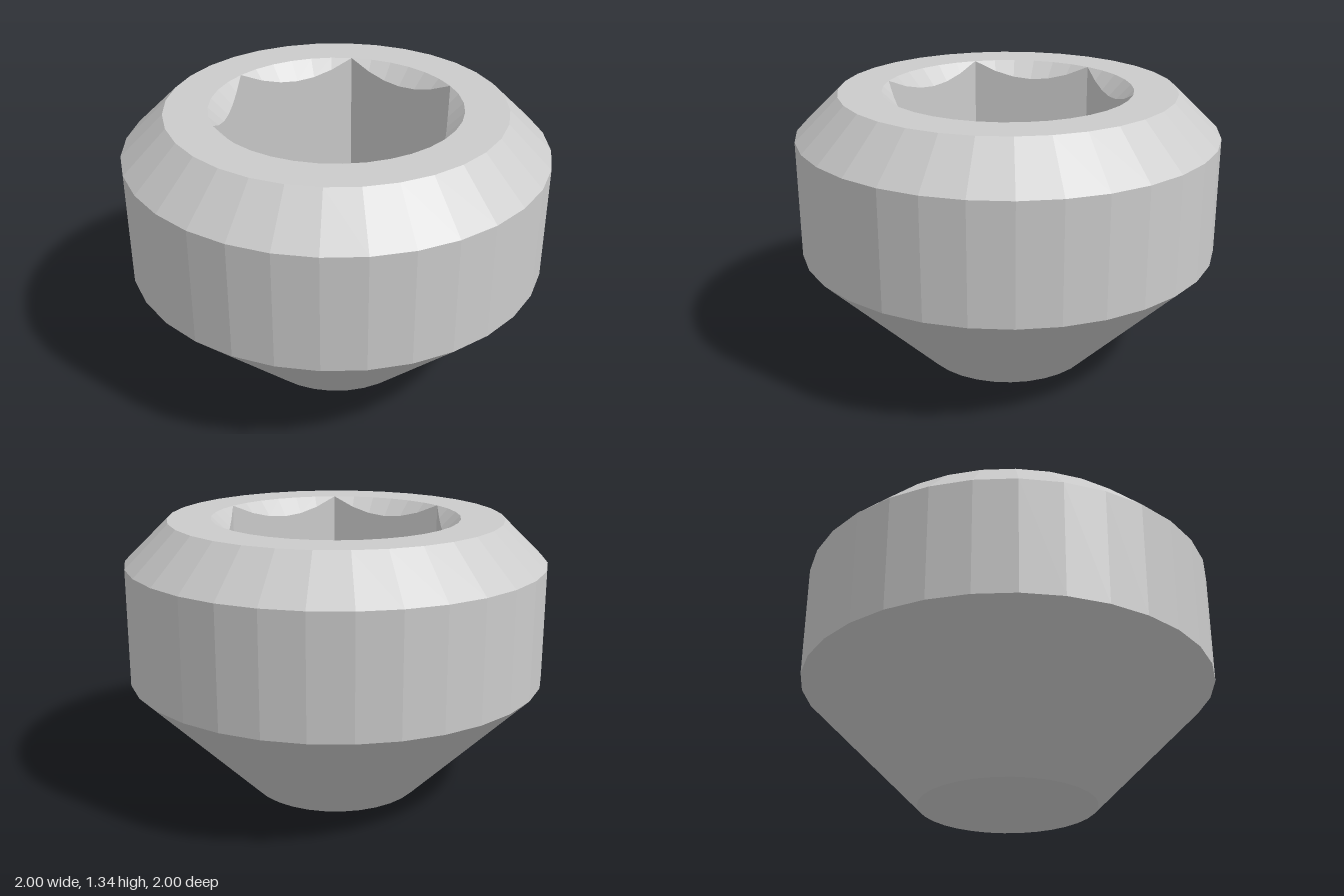
import * as THREE from 'three';

const TOP = 1.335, SIDES = 32;
const TOP_R = 0.795; // outer edge of the flat top
const HEX_R = 0.59; // socket corner radius
const FLOOR_Y = 0.667;

const material = new THREE.MeshStandardMaterial({ color: 0xcccccc, flatShading: true });

function part(name, geometry) {
  const mesh = new THREE.Mesh(geometry, material);
  mesh.name = name;
  return mesh;
}

// Points of a regular polygon with its first corner on +x
function polygon(radius, sides) {
  return Array.from({ length: sides }, (_, i) => {
    const a = (i / sides) * Math.PI * 2;
    return new THREE.Vector2(Math.cos(a) * radius, Math.sin(a) * radius);
  });
}

// Hexagonal recess whose mouth is cut by a 45 degree countersink
function socketGeometry() {
  const perFlat = 6, n = perFlat * 6;
  const apothem = HEX_R * Math.cos(Math.PI / 6);
  const positions = [], index = [];
  for (let j = 0; j <= n; j++) {
    const a = (j / n) * Math.PI * 2;
    const offset = ((j % perFlat) / perFlat - 0.5) * (Math.PI / 3);
    const r = apothem / Math.cos(offset);
    // rim, countersink edge, floor edge, floor centre
    const column = [[HEX_R, TOP], [r, TOP - (HEX_R - r)], [r, FLOOR_Y], [0, FLOOR_Y]];
    for (const [radius, y] of column) positions.push(Math.cos(a) * radius, y, Math.sin(a) * radius);
  }
  for (let j = 0; j < n; j++) {
    for (let i = 0; i < 3; i++) {
      const p = j * 4 + i, q = p + 4;
      index.push(p, p + 1, q);
      if (i < 2) index.push(q, p + 1, q + 1);
    }
  }
  const geometry = new THREE.BufferGeometry();
  geometry.setAttribute('position', new THREE.Float32BufferAttribute(positions, 3));
  geometry.setIndex(index);
  geometry.computeVertexNormals();
  return geometry;
}

export function createModel() {
  const group = new THREE.Group();
  group.name = 'setScrew';

  // Tapered point, cylindrical band and top chamfer
  const profile = [[0.423, 0], [1, 0.578], [1, 1.135], [TOP_R, TOP]];
  group.add(part('body', new THREE.LatheGeometry(profile.map(p => new THREE.Vector2(...p)), SIDES)));

  // Hollow cone under the point
  const cup = [[0, 0.24], [0.423, 0]].map(p => new THREE.Vector2(...p));
  group.add(part('cupPoint', new THREE.LatheGeometry(cup, SIDES)));

  // Flat ring around the socket
  const ring = new THREE.Shape(polygon(TOP_R, SIDES));
  ring.holes.push(new THREE.Path(polygon(HEX_R, 36)));
  const ringGeometry = new THREE.ShapeGeometry(ring);
  ringGeometry.rotateX(-Math.PI / 2).translate(0, TOP, 0);
  group.add(part('topRing', ringGeometry));

  group.add(part('hexSocket', socketGeometry()));
  return group;
}
